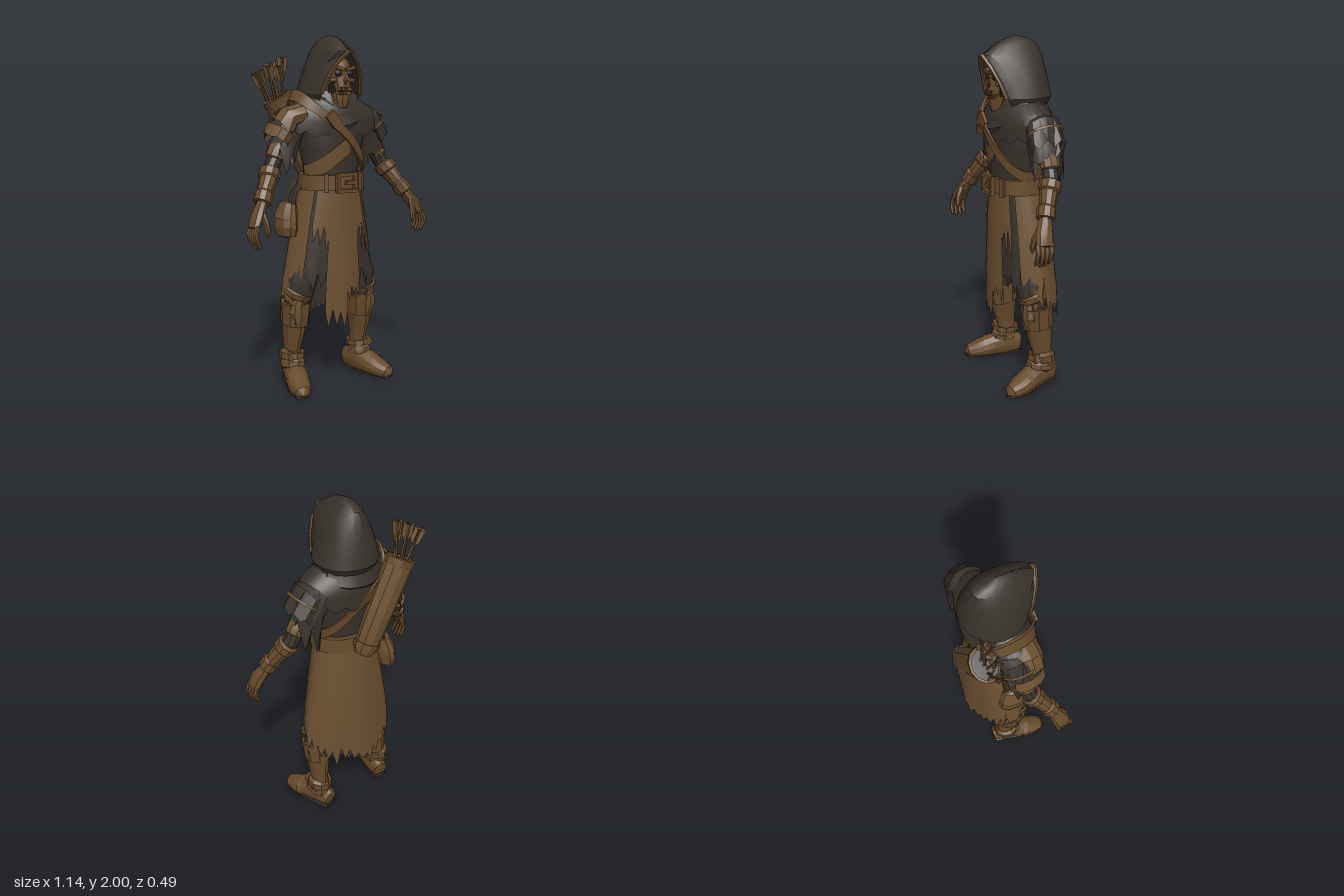
import * as THREE from 'three';
import { toCreasedNormals } from 'three/addons/utils/BufferGeometryUtils.js';

const material = (name, color, double) => {
  const m = new THREE.MeshStandardMaterial({ color });
  m.name = name;
  if (double) m.side = THREE.DoubleSide;
  return m;
};

export function createModel() {
  const root = new THREE.Group();
  root.name = 'hoodedArcher';
  const cloth = material('charcoal cloth', 0x38312a, true);
  const robe = material('brown robe', 0x6a4f30, true);
  const leather = material('brown leather', 0x664a2b, true);
  const darkLeather = material('dark leather', 0x4c3822);
  const bone = material('aged bone', 0x684a2a);
  const shadow = material('black hollow', 0x2a231d, true);

  let seed = 7;
  const rand = () => (seed = (seed * 16807) % 2147483647) / 2147483647;
  const add = (name, geo, mat, parent = root) => {
    const mesh = new THREE.Mesh(geo, mat);
    mesh.name = name;
    parent.add(mesh);
    return mesh;
  };

  // Sheet of quads from a rule fn(column, row) -> [x, y, z]
  const grid = (cols, rows, fn) => {
    const pos = [], idx = [];
    for (let j = 0; j <= rows; j++) for (let i = 0; i <= cols; i++) pos.push(...fn(i, j));
    for (let j = 0; j < rows; j++) for (let i = 0; i < cols; i++) {
      const a = j * (cols + 1) + i, b = a + 1, c = a + cols + 1, d = c + 1;
      idx.push(a, b, d, a, d, c);
    }
    const g = new THREE.BufferGeometry();
    g.setAttribute('position', new THREE.Float32BufferAttribute(pos, 3));
    g.setIndex(idx);
    return toCreasedNormals(g, 0.45);
  };

  // Tapered tube through [x, y, z, radius, depthRadius]; hem makes the last ring ragged
  const limb = (name, pts, mat, sides = 10, hem = 0) => {
    const P = pts.map(p => new THREE.Vector3(p[0], p[1], p[2]));
    const along = P[P.length - 1].clone().sub(P[0]).normalize();
    const ref = Math.abs(along.z) > 0.75 ? new THREE.Vector3(0, 1, 0) : new THREE.Vector3(0, 0, 1);
    const rag = Array.from({ length: sides }, (_, i) => hem * (i % 2 ? rand() : -0.3 * rand()));
    const frames = P.map((p, j) => {
      const t = P[Math.min(j + 1, P.length - 1)].clone().sub(P[Math.max(j - 1, 0)]).normalize();
      const s = t.clone().cross(ref).normalize();
      return { s, b: t.clone().cross(s) };
    });
    return add(name, grid(sides, pts.length - 1, (i, j) => {
      const a = (i % sides) / sides * Math.PI * 2, f = frames[j], r = pts[j][3], r2 = pts[j][4] ?? r;
      const v = P[j].clone().addScaledVector(f.s, Math.cos(a) * r).addScaledVector(f.b, Math.sin(a) * r2);
      if (j === pts.length - 1) v.y -= rag[i % sides];
      return [v.x, Math.max(0, v.y), v.z];
    }), mat);
  };

  // Body section table [y, rx, rz, cz], sampled at any height
  const sample = (table, y) => {
    let k = 0;
    while (k < table.length - 2 && y > table[k + 1][0]) k++;
    const A = table[k], B = table[k + 1];
    const t = THREE.MathUtils.clamp((y - A[0]) / (B[0] - A[0]), 0, 1);
    return A.map((v, n) => v + (B[n] - v) * t);
  };
  const onBody = (table, a, y, off = 0) => {
    const [, rx, rz, cz] = sample(table, y);
    return [Math.sin(a) * (rx + off), y, cz + Math.cos(a) * (rz + off)];
  };
  const torso = [[1.13, .172, .138, .03], [1.25, .165, .13, .035], [1.38, .19, .145, .03],
    [1.5, .215, .155, .025], [1.58, .2, .145, .02], [1.66, .14, .12, .01], [1.72, .1, .1, .01]];
  const overMantle = [[1.2, .172, .137, .035], [1.4, .195, .155, .03], [1.5, .24, .17, .02],
    [1.6, .25, .172, .015], [1.7, .2, .15, .01]];
  const skirt = [[.28, .315, .185, -.002], [.6, .295, .178, .004], [.9, .24, .165, .012], [1.2, .175, .145, .025]];

  // Tunic, straps and belt
  add('tunic', grid(28, 6, (i, j) => onBody(torso, i / 28 * Math.PI * 2, torso[j][0])), cloth);
  const band = (name, table, a0, a1, yOf, w, off, mat) => add(name, grid(36, 3, (i, j) => {
    const a = a0 + (a1 - a0) * i / 36;
    return onBody(table, a, yOf(a) + (j < 2 ? -w : w) / 2, j === 0 || j === 3 ? 0 : off);
  }), mat);
  band('chestWrap', torso, -1.5, .2, a => 1.375 + .14 * Math.sin(a), .1, .012, robe);
  band('quiverStrap', overMantle, -Math.PI, Math.PI, a => 1.46 - .21 * Math.sin(a), .06, .016, leather);
  band('belt', torso, 0, Math.PI * 2, () => 1.19, .085, .028, leather);

  const box = (name, w, h, d, x, y, z, mat, rz = 0) => {
    const m = add(name, new THREE.BoxGeometry(w, h, d), mat);
    m.position.set(x, y, z);
    m.rotation.z = rz;
    return m;
  };
  for (const s of [-1, 1]) {
    box('buckleBar', .02, .11, .025, s * .055, 1.19, .203, leather);
    box('buckleRail', .12, .02, .025, 0, 1.19 + s * .046, .206, leather);
    box('beltLoop', .025, .105, .02, s * .115, 1.19, .172, leather).rotation.y = s * .5;
  }
  box('buckleTongue', .06, .02, .02, .02, 1.19, .21, leather);
  box('strapBuckle', .08, .06, .02, -.08, 1.54, .192, leather, -.85);

  // Ragged robe panels sharing one set of folds
  const panel = (name, a0, a1, off, hem, rag, mat) => {
    const cols = Math.max(6, Math.round((a1 - a0) * 10));
    const ends = Array.from({ length: cols + 1 }, (_, i) =>
      hem(a0 + (a1 - a0) * i / cols) + rag * (i % 2 ? -rand() : rand() * .9));
    add(name, grid(cols, 6, (i, j) => {
      const a = a0 + (a1 - a0) * i / cols, y = ends[i] + (1.2 - ends[i]) * j / 6;
      return onBody(skirt, a, y, off + Math.cos(a * 8) * .008 * (1.2 - y));
    }), mat);
  };
  panel('underskirt', -1.38, 1.38, -.014, () => .63, .07, cloth);
  panel('backRobeLining', 1.3, 4.98, -.012, a => .54 - .15 * Math.cos(a) ** 2, .06, cloth);
  panel('backRobe', 1.2, 5.08, .002, a => .53 - .15 * Math.cos(a) ** 2, .09, robe);
  panel('frontTabard', -.4, .06, .006, () => .43, .09, robe);
  panel('frontTabardShort', .04, .4, .006, () => .58, .09, robe);
  panel('rightFrontFlap', -.85, -.36, .004, () => .86, .1, robe);
  panel('leftFrontPanel', .92, 1.35, .006, () => .65, .08, robe);
  panel('rightFrontPanel', -1.35, -.92, .006, () => .66, .08, robe);
  panel('leftHipFlap', .36, .74, .004, () => .86, .1, robe);

  // Hood rows: [y, halfWidth, zBack, zFront, openingHalfWidth]
  const hood = [[1.63, .165, -.145, .11, .12], [1.675, .184, -.174, .142, .125], [1.76, .157, -.158, .172, .103],
    [1.84, .127, -.14, .205, .064], [1.9, .1, -.124, .23, .008], [1.955, .062, -.103, .15, .001],
    [1.985, .034, -.05, .09, .001], [2, .002, .02, .03, .001]];
  add('hood', grid(14, hood.length - 1, (i, j) => {
    const [y, w, zb, zf, gap] = hood[j], a0 = Math.asin(Math.min(1, gap / w));
    const a = a0 + (Math.PI * 2 - 2 * a0) * i / 14, c = Math.cos(a), mid = j < 7 ? 0 : .02;
    return [Math.sin(a) * w, y, mid + (c > 0 ? c * (zf - mid) / Math.max(.3, Math.cos(a0)) : -c * (zb - mid))];
  }), cloth);
  const edge = s => hood.slice(1, 5).map(h => [s * h[4], h[0], h[3], .01, .014]);
  limb('hoodBrim', [...edge(1), ...edge(-1).reverse()], robe, 6);

  // Ragged mantle over the shoulders, and cowl folds around the neck
  const mantle = [[1.5, .3, .165], [1.56, .302, .167], [1.605, .265, .163], [1.65, .18, .15], [1.69, .13, .12]];
  add('mantle', grid(32, 4, (i, j) => {
    const a = i / 32 * Math.PI * 2, [y, rx, rz] = mantle[j];
    const drop = (j ? 0 : .03 * (i % 2)) + .05 * Math.cos(a) ** 2;
    return [Math.sin(a) * rx, y - drop, .012 + Math.cos(a) * rz];
  }), cloth);
  const cowl = [[1.555, .2, .172], [1.575, .205, .182], [1.61, .19, .168], [1.67, .165, .15], [1.69, .12, .11]];
  add('cowl', grid(28, 4, (i, j) => {
    const a = i / 28 * Math.PI * 2, [y, rx, rz] = cowl[j], dip = Math.max(0, Math.cos(a)) ** 3 * .08;
    return [Math.sin(a) * (rx + .01 * Math.sin(i * 2.1 + j)), y - dip + .01 * Math.sin(a * 3 + j), .012 + Math.cos(a) * rz];
  }), cloth);

  // Skull in a head wrap
  const ball = (name, x, y, z, rx, ry, rz, mat, sides = 14) => {
    const m = add(name, new THREE.SphereGeometry(1, sides, 10), mat);
    m.position.set(x, y, z);
    m.scale.set(rx, ry, rz);
    return m;
  };
  ball('headWrap', 0, 1.77, .055, .11, .125, .1, robe);
  ball('cranium', 0, 1.79, .085, .083, .1, .1, bone);
  limb('upperJaw', [[0, 1.765, .14, 0], [0, 1.765, .14, .055, .045], [0, 1.69, .155, .042, .042], [0, 1.69, .155, 0]], bone, 10);
  limb('lowerJaw', [[0, 1.685, .13, 0], [0, 1.685, .13, .056, .05], [0, 1.63, .138, .046, .046],
    [0, 1.595, .145, .028, .03], [0, 1.595, .145, 0]], bone, 10);
  ball('noseHollow', 0, 1.742, .186, .012, .02, .008, shadow, 6);
  box('mouthGap', .07, .008, .01, 0, 1.688, .192, shadow);
  for (const s of [-1, 1]) {
    ball('eyeSocket', s * .034, 1.785, .17, .024, .019, .014, shadow);
    ball('cheekbone', s * .055, 1.748, .147, .022, .014, .03, bone, 8);
    box('browRidge', .06, .018, .03, s * .034, 1.812, .174, bone, s * .25);
    box('cheekHollow', .016, .05, .03, s * .06, 1.705, .135, shadow);
    for (let k = 0; k < 3; k++) {
      box('upperTooth', .01, .02, .012, s * (.007 + k * .013), 1.702, .195 - k * .005, bone);
      box('lowerTooth', .01, .016, .012, s * (.007 + k * .013), 1.676, .185 - k * .005, bone);
    }
  }

  for (const s of [1, -1]) {
    const side = s > 0 ? 'left' : 'right';
    const L = (part, pts, mat, sides, hem) =>
      limb(side + part, pts.map(p => [s * p[0], ...p.slice(1)]), mat, sides, hem);

    // Layered ragged shoulders
    L('Pauldron', [[.15, 1.55, 0, .06, .09], [.26, 1.53, 0, .08, .1], [.33, 1.44, 0, .07, .098]], cloth, 14, .05);
    L('PauldronTrim', [[.285, 1.51, 0, .082, .107], [.295, 1.498, 0, .082, .107]], robe, 14);
    L('Sleeve', [[.2, 1.54, -.01, .08, .1], [.26, 1.44, -.01, .075, .1], [.295, 1.35, -.01, .082, .095]], cloth, 14, .16);

    // Arm, bracer and wrappings
    L('UpperArm', [[.24, 1.52, 0, .055], [.31, 1.38, 0, .046], [.365, 1.28, .01, .044], [.375, 1.265, .015, .044]], cloth, 10);
    L('ElbowWrap', [[.305, 1.39, 0, .05], [.33, 1.36, 0, .055], [.348, 1.328, .003, .052], [.35, 1.32, .003, .03]], robe, 9);
    L('Forearm', [[.365, 1.28, .01, 0], [.37, 1.27, .015, .04], [.41, 1.21, .05, .05], [.48, 1.1, .105, .035]], leather, 10);
    L('BracerCuff', [[.375, 1.27, .015, .045], [.38, 1.26, .02, .062], [.4, 1.225, .04, .06], [.405, 1.215, .045, .045]], leather, 10);
    L('WristCuff', [[.445, 1.15, .08, .04], [.45, 1.145, .085, .052], [.475, 1.1, .105, .05], [.48, 1.095, .108, .03]], leather, 10);

    // Gloved hand
    L('Palm', [[.47, 1.11, .1, 0], [.475, 1.1, .105, .03, .035], [.52, 1.03, .135, .032, .05],
      [.545, .975, .145, .024, .05], [.55, .965, .146, 0]], leather, 8);
    for (let k = 0; k < 4; k++) {
      const z = .108 + k * .026, d = Math.abs(k - 1.5) * .012;
      L('Finger', [[.54, .99, z, .015], [.557, .945, z + .004, .015], [.553, .9 + d, z + .008, .013],
        [.533, .862 + d, z + .01, .009], [.53, .852 + d, z + .01, 0]], leather, 6);
    }
    L('Thumb', [[.495, 1.05, .15, .02], [.485, 1.0, .175, .018], [.478, .95, .185, .014], [.482, .92, .187, 0]], leather, 6);

    // Leg, knee and boot
    L('Trouser', [[.08, 1.12, .02, .08], [.13, .85, .02, .088], [.198, .62, .035, .09], [.22, .44, .01, .07]], cloth, 12);
    L('KneeWrap', [[.208, .575, .035, .08], [.21, .57, .033, .092], [.215, .545, .025, .088], [.218, .53, .02, .07]], robe, 9);
    L('BootCuff', [[.222, .5, .01, .07, .085], [.222, .5, .01, .09, .098], [.222, .44, .008, .084, .094],
      [.224, .37, 0, .08, .09], [.224, .365, 0, .05]], leather, 9);
    L('KneeGuard', [[.235, .55, .065, 0], [.235, .53, .07, .035, .03], [.235, .45, .068, .06, .04], [.235, .38, .06, .03, .03], [.235, .36, .05, 0]], robe, 8);
    L('BootShaft', [[.222, .42, 0, .066, .083], [.226, .33, -.005, .064, .078], [.23, .22, -.02, .048, .06], [.228, .07, -.03, .055, .07]], leather, 12);
    L('AnkleBand', [[.228, .2, -.02, .05, .06], [.23, .195, -.02, .072, .08], [.23, .16, -.018, .074, .085], [.23, .155, -.015, .05]], leather, 9);
    L('AnkleStrap', [[.228, .14, -.015, .06, .07], [.23, .135, -.01, .07, .085], [.232, .11, -.008, .072, .088], [.232, .105, -.005, .06]], leather, 9);
    L('Foot', [[.205, .055, -.11, 0], [.206, .06, -.1, .048, .06], [.222, .075, -.02, .064, .085], [.246, .062, .06, .067, .075],
      [.275, .042, .15, .066, .055], [.293, .03, .215, .044, .04], [.3, .025, .242, 0]], leather, 12);
    L('Sole', [[.205, .008, -.108, 0], [.207, .008, -.1, .044, .01], [.24, .008, .04, .06, .01],
      [.277, .008, .15, .06, .01], [.295, .008, .22, .038, .01], [.301, .008, .24, 0]], shadow, 8);
    L('ToeStrap', [[.258, .055, .09, .07, .068], [.268, .052, .118, .071, .064]], robe, 12);
    box('bootSpur', .035, .05, .03, s * .27, .185, .035, leather, s * .4);
  }
  // Extra worn leather plates on the bare shoulder
  limb('shoulderPlate', [[-.2, 1.565, .05, .06, .085], [-.275, 1.55, .045, .065, .085], [-.305, 1.5, .04, .07, .085]], robe, 9, .03);
  limb('armPlate', [[-.31, 1.475, .01, .082, .104], [-.345, 1.425, .01, .076, .1]], robe, 12, .03);

  // Quiver slung across the back
  const q = (t, r) => [.015 - .245 * t, 1.165 + .495 * t, -.176, r, r * .8];
  limb('quiver', [q(-.03, 0), q(-.03, .055), q(.04, .076), q(.5, .086), q(1, .09)], robe, 10);
  limb('quiverRim', [q(.925, .07), q(.93, .094), q(1, .096), q(1.01, .08)], leather, 12);
  limb('quiverBase', [q(.04, .06), q(.045, .081), q(.1, .083), q(.105, .06)], leather, 10);
  limb('quiverHollow', [q(.98, .088), q(.985, 0)], shadow, 12);

  // Arrows with crossed, notched fletching
  const vane = new THREE.ShapeGeometry(new THREE.Shape([[0, -.1], [.026, -.07], [.032, .01], [0, -.015], [-.032, .01], [-.026, -.07]]
    .map(p => new THREE.Vector2(...p))));
  [[-.375, 1.785, -.16], [-.335, 1.8, -.2], [-.3, 1.83, -.15], [-.265, 1.85, -.19], [-.2, 1.88, -.17], [-.235, 1.83, -.14]].forEach((e, k) => {
    const start = [-.235 + .02 * (k - 2), 1.6, -.176];
    limb('arrowShaft', [[...start, .008], [...e, .008]], leather, 5);
    const fletch = new THREE.Group();
    fletch.name = 'arrowFletching';
    fletch.position.set(...e);
    fletch.quaternion.setFromUnitVectors(new THREE.Vector3(0, 1, 0),
      new THREE.Vector3(...e).sub(new THREE.Vector3(...start)).normalize());
    for (const turn of [.2, 1.77]) add('vane', vane, robe, fletch).rotation.y = turn + k * .3;
    root.add(fletch);
  });

  // Hip pouch
  limb('pouch', [[-.25, 1.08, -.01, 0], [-.25, 1.07, -.01, .035, .055], [-.264, 1.02, -.01, .045, .075],
    [-.272, .94, -.01, .058, .1], [-.272, .89, -.01, .048, .09], [-.272, .87, -.01, 0]], leather, 10);
  limb('pouchFlap', [[-.25, 1.075, -.01, .03, .04], [-.252, 1.07, -.01, .04, .06], [-.266, 1.01, -.01, .054, .086], [-.27, .98, -.01, .058, .094]], robe, 10);
  for (const z of [-.05, .03])
    limb('pouchCord', [[-.18, 1.18, z, .012], [-.22, 1.14, z, .012], [-.25, 1.06, z, .012]], darkLeather, 6);

  return root;
}
